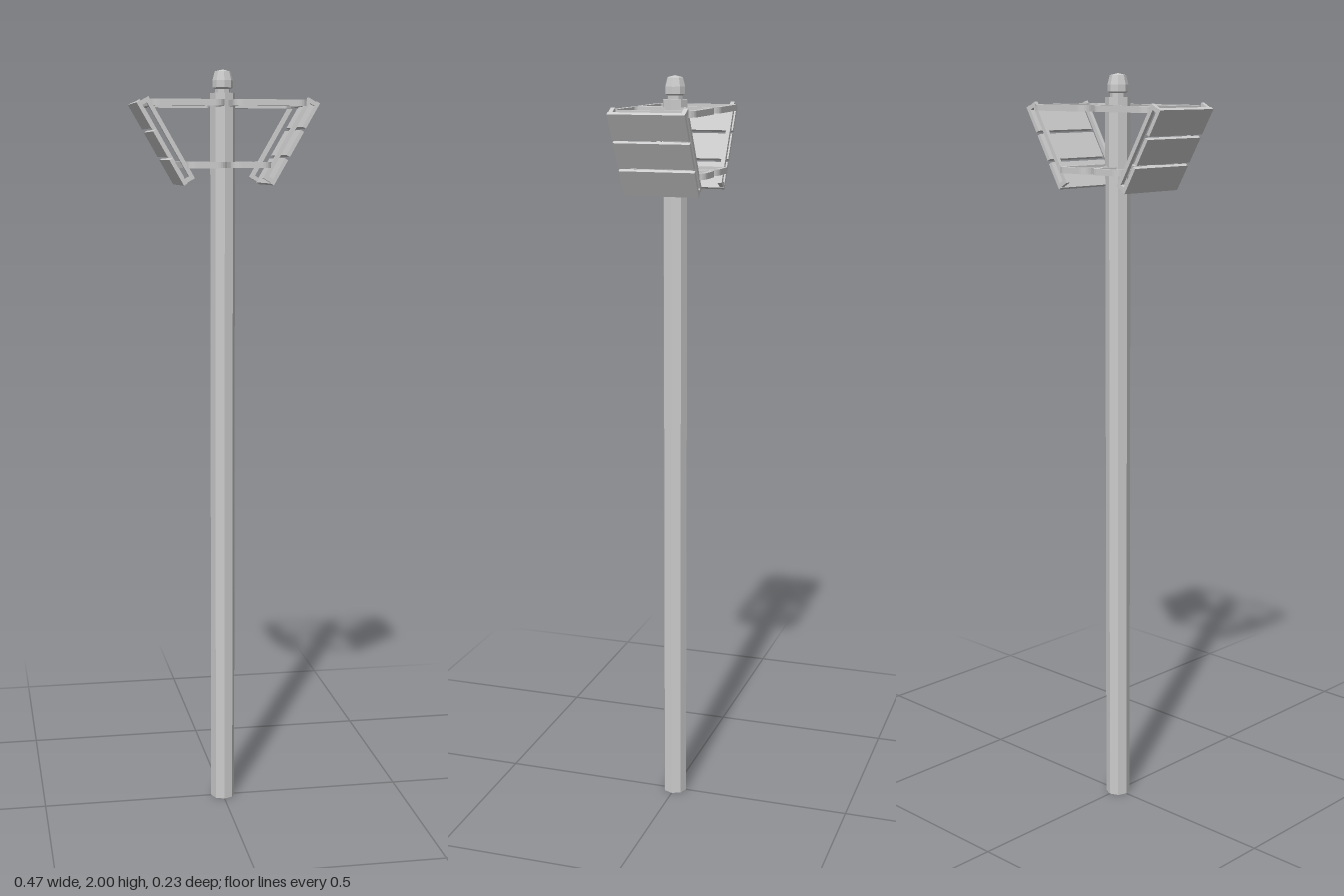
import * as THREE from 'three';

const material = new THREE.MeshStandardMaterial({ color: 0xcccccc, flatShading: true });

function part(name, geometry) {
  const mesh = new THREE.Mesh(geometry, material);
  mesh.name = name;
  return mesh;
}

// Rectangle outline with rounded corners, drawn on a Shape or Path
function roundedRect(path, x0, x1, h, r) {
  path.moveTo(x0 + r, -h);
  path.lineTo(x1 - r, -h);
  path.absarc(x1 - r, -h + r, r, -Math.PI / 2, 0, false);
  path.lineTo(x1, h - r);
  path.absarc(x1 - r, h - r, r, 0, Math.PI / 2, false);
  path.lineTo(x0 + r, h);
  path.absarc(x0 + r, h - r, r, Math.PI / 2, Math.PI, false);
  path.lineTo(x0, -h + r);
  path.absarc(x0 + r, -h + r, r, Math.PI, Math.PI * 1.5, false);
  return path;
}

// Horizontal closed loop of flat bar reaching from the pole to the panel
function bracket(name, x0, x1, y) {
  const bar = 0.014, height = 0.016;
  const shape = roundedRect(new THREE.Shape(), x0, x1, 0.113, 0.025);
  shape.holes.push(roundedRect(new THREE.Path(), x0 + bar, x1 - bar, 0.113 - bar, 0.012));
  const geometry = new THREE.ExtrudeGeometry(shape, { depth: height, bevelEnabled: false, curveSegments: 3 });
  geometry.rotateX(-Math.PI / 2).translate(0, y - height / 2, 0);
  return part(name, geometry);
}

// Upright C-shaped rail, u runs outward and v along the slope
function rail() {
  const L = 0.118, t = 0.011, d = 0.031;
  const pts = [[0, -L], [d, -L], [d, -L + t], [t, -L + t], [t, L - t], [d, L - t], [d, L], [0, L]];
  const shape = new THREE.Shape(pts.map(([u, v]) => new THREE.Vector2(u, v)));
  return new THREE.ExtrudeGeometry(shape, { depth: 0.011, bevelEnabled: false }).translate(0, 0, -0.0055);
}

// One side: two brackets, a pair of rails and three slats
function createArm(name) {
  const arm = new THREE.Group();
  arm.name = name;
  arm.add(bracket('upperBracket', 0.011, 0.205, 1.913));
  arm.add(bracket('lowerBracket', 0.005, 0.112, 1.756));

  const panel = new THREE.Group();
  panel.name = 'slopedPanel';
  panel.position.set(0.148, 1.825, 0);
  panel.rotation.z = -Math.PI / 6;
  for (const z of [-0.094, 0.094]) {
    const r = part('sideRail', rail());
    r.position.z = z;
    panel.add(r);
  }
  for (const v of [-0.083, 0, 0.083]) {
    const slat = part('slat', new THREE.BoxGeometry(0.01, 0.074, 0.2));
    slat.position.set(0.029, v, 0);
    panel.add(slat);
  }
  arm.add(panel);
  return arm;
}

export function createModel() {
  const model = new THREE.Group();
  model.name = 'poleWithPanels';

  // Octagonal pole
  const pole = part('pole', new THREE.CylinderGeometry(0.033, 0.033, 1.94, 8));
  pole.position.y = 0.97;
  model.add(pole);

  // Stepped cap on the pole top
  const profile = [[0.02, 1.935], [0.02, 1.95], [0.027, 1.954], [0.027, 1.972], [0.021, 1.995], [0, 2]];
  model.add(part('cap', new THREE.LatheGeometry(profile.map(([r, y]) => new THREE.Vector2(r, y)), 8)));

  // Matching arms on both sides
  const left = createArm('leftArm');
  const right = createArm('rightArm');
  right.rotation.y = Math.PI;
  model.add(left, right);
  return model;
}
